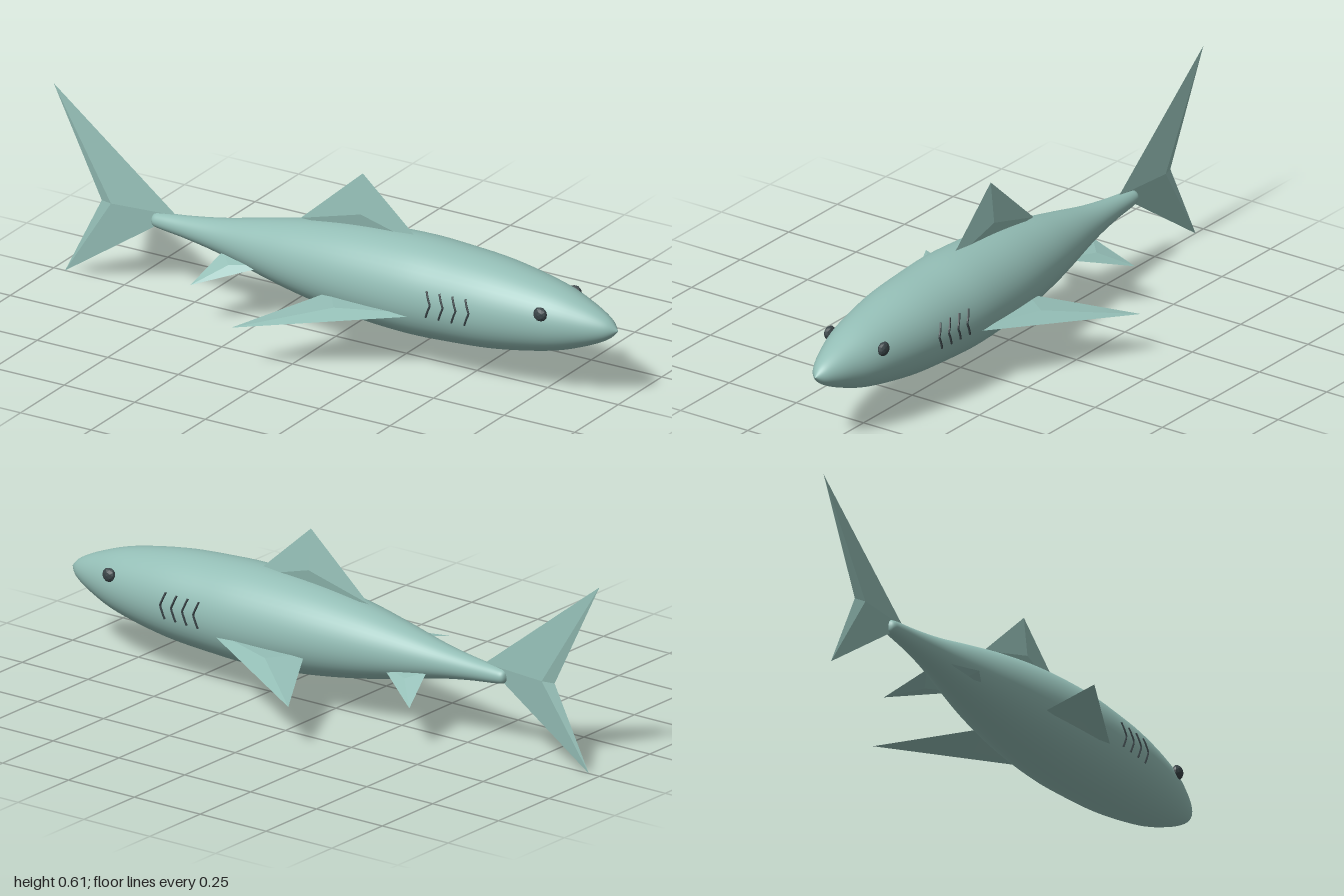
import * as THREE from 'three';

const skin = new THREE.MeshStandardMaterial({ color: 0x94beb6 });
skin.name = 'sea green skin';
const finSkin = new THREE.MeshStandardMaterial({ color: 0x94beb6, flatShading: true });
finSkin.name = 'sea green fin';
const dark = new THREE.MeshStandardMaterial({ color: 0x3a4548, flatShading: true });
dark.name = 'dark slate';

const AXIS_Y = 0.24;
const V = (p) => new THREE.Vector3(...p);

// Body radius along x, from the blunt tail stump to the nose
const profile = new THREE.SplineCurve([
  [0, -0.65], [0.019, -0.642], [0.026, -0.61], [0.036, -0.52], [0.055, -0.4],
  [0.088, -0.25], [0.118, -0.1], [0.143, 0.08], [0.155, 0.28], [0.151, 0.43],
  [0.138, 0.6], [0.106, 0.78], [0.07, 0.89], [0.034, 0.965], [0, 1],
].map(([r, x]) => new THREE.Vector2(r, x)));
const profilePoints = profile.getPoints(84).map((p) => new THREE.Vector2(Math.max(p.x, 0), p.y));

function radiusAt(x) {
  const i = profilePoints.findIndex((p) => p.y >= x);
  const a = profilePoints[i - 1], b = profilePoints[i];
  return a.x + (b.x - a.x) * (x - a.y) / (b.y - a.y);
}

// Fin: an outline with a raised middle point on each face
function makeFin(name, outline, middle, thickness) {
  const pts = outline.map(V), mid = V(middle), area = new THREE.Vector3();
  const next = (i) => pts[(i + 1) % pts.length];
  pts.forEach((p, i) => area.add(p.clone().sub(mid).cross(next(i).clone().sub(mid))));
  const lift = area.normalize().multiplyScalar(thickness);
  const up = mid.clone().add(lift), down = mid.clone().sub(lift);
  const corners = [];
  pts.forEach((p, i) => corners.push(up, p, next(i), down, next(i), p));
  const geo = new THREE.BufferGeometry().setFromPoints(corners);
  geo.computeVertexNormals();
  const mesh = new THREE.Mesh(geo, finSkin);
  mesh.name = name;
  return mesh;
}

// Gill slit: a bent cord lying on the flank
function makeGill(x, side) {
  const pts = [];
  for (let i = 0; i <= 6; i++) {
    const t = i / 3 - 1;
    const px = x + 0.008 - 0.016 * Math.abs(t);
    const y = 0.25 + 0.042 * t;
    const r = radiusAt(px) + 0.001;
    pts.push(new THREE.Vector3(px, y, side * Math.sqrt(r * r - (y - AXIS_Y) ** 2)));
  }
  const path = new THREE.CatmullRomCurve3(pts);
  return new THREE.Mesh(new THREE.TubeGeometry(path, 12, 0.0035, 5), dark);
}

export function createModel() {
  const fish = new THREE.Group();
  fish.name = 'fish';

  const body = new THREE.Mesh(new THREE.LatheGeometry(profilePoints, 48).rotateZ(-Math.PI / 2), skin);
  body.name = 'body';
  body.position.y = AXIS_Y;
  fish.add(body);

  fish.add(makeFin('tailFin',
    [[-0.565, 0.268, 0], [-1, 0.605, 0], [-0.83, 0.26, 0], [-0.96, 0, 0]],
    [-0.79, 0.262, 0], 0.012));
  fish.add(makeFin('dorsalFin',
    [[-0.125, 0.36, 0], [0.095, 0.555, 0], [0.315, 0.36, 0]],
    [0.095, 0.425, 0], 0.013));

  // Paired parts
  for (const [side, word] of [[1, 'left'], [-1, 'right']]) {
    fish.add(makeFin(word + 'PectoralFin',
      [[0.43, 0.203, side * 0.1], [0.043, 0.193, side * 0.1], [-0.125, 0.145, side * 0.4]],
      [0.116, 0.18, side * 0.2], 0.013));
    fish.add(makeFin(word + 'PelvicFin',
      [[-0.195, 0.205, side * 0.04], [-0.375, 0.21, side * 0.04], [-0.41, 0.138, side * 0.172]],
      [-0.327, 0.184, side * 0.084], 0.009));

    const eye = new THREE.Mesh(new THREE.IcosahedronGeometry(0.023, 1), dark);
    eye.name = word + 'Eye';
    eye.scale.z = 0.65;
    eye.position.set(0.785, 0.284, side * 0.1);
    fish.add(eye);

    const gills = new THREE.Group();
    gills.name = word + 'Gills';
    for (let i = 0; i < 4; i++) gills.add(makeGill(0.418 + 0.044 * i, side));
    fish.add(gills);
  }
  return fish;
}
